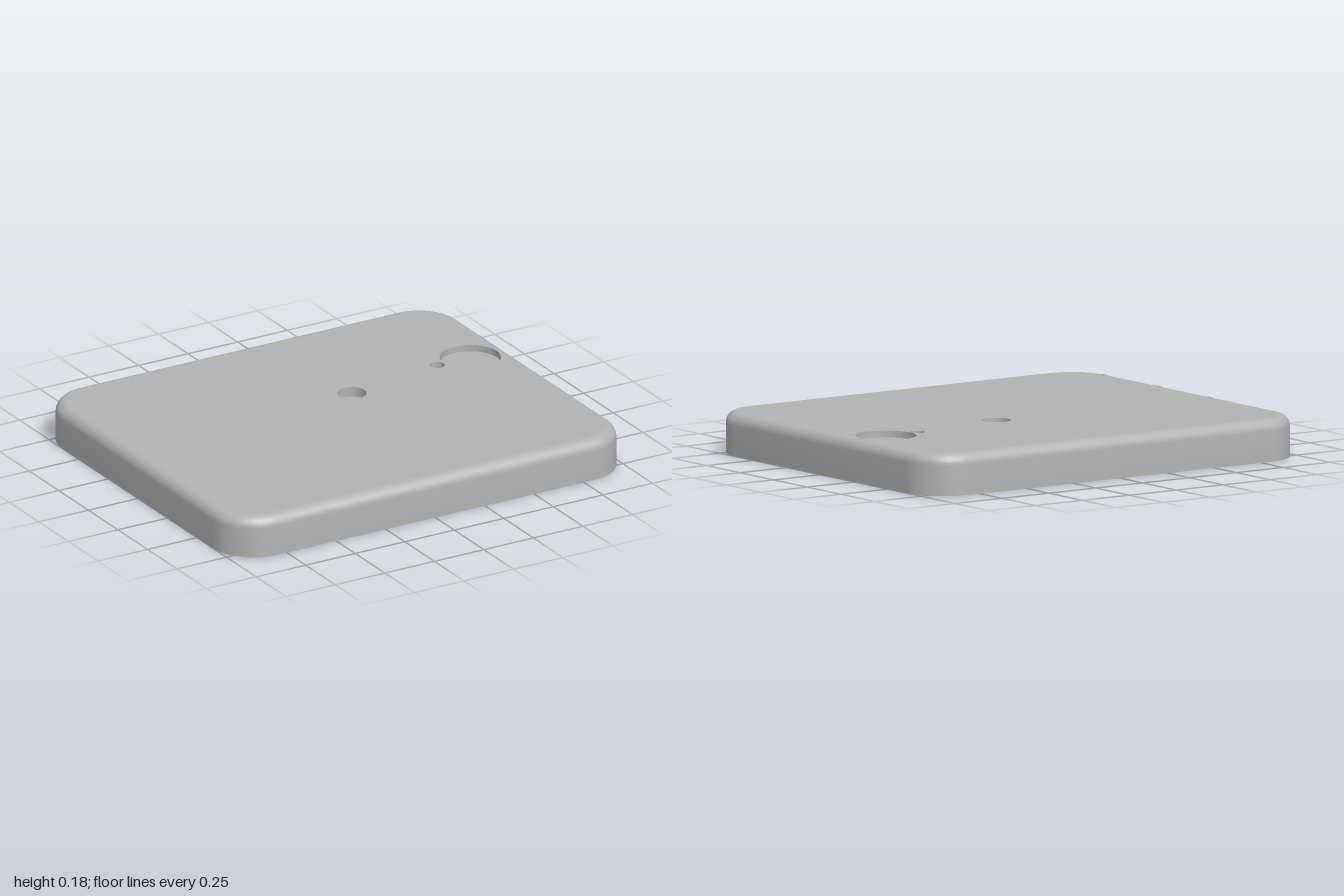
import * as THREE from 'three';
import { toCreasedNormals } from 'three/addons/utils/BufferGeometryUtils.js';

const HX = 1, HZ = 0.84, CORNER = 0.2;      // footprint
const TOP = 0.184, FLOOR = 0.13, FILLET = 0.05, WALL = 0.065;
const SCREWS = [[-0.9, -0.16], [-0.9, 0.22], [-0.9, 0.62], [0.17, -0.15]];
const DIAL = [0.812, -0.225, 0.133];        // x, z, radius
const PIN = [0.645, -0.225, 0.033];

const grey = new THREE.MeshStandardMaterial({ color: 0xb2b2b2 });
grey.name = 'plainGrey';

// Rounded-rectangle outline as [x, z], shrunk by inset
function outline(inset, steps = 12) {
  const points = [], r = CORNER - inset;
  const corners = [[1, 1], [-1, 1], [-1, -1], [1, -1]];
  corners.forEach(([sx, sz], q) => {
    for (let i = 0; i <= steps; i++) {
      const a = (q + i / steps) * Math.PI / 2;
      points.push([sx * (HX - CORNER) + r * Math.cos(a), sz * (HZ - CORNER) + r * Math.sin(a)]);
    }
  });
  return points;
}

// Flat face with round holes, facing up or down
function face(inset, holes, y, up) {
  const s = up ? -1 : 1;
  const shape = new THREE.Shape(outline(inset).map(([x, z]) => new THREE.Vector2(x, s * z)));
  for (const [x, z, r] of holes) {
    shape.holes.push(new THREE.Path().absarc(x, s * z, r, 0, Math.PI * 2, true));
  }
  return new THREE.ShapeGeometry(shape, 20).rotateX(s * Math.PI / 2).translate(0, y, 0);
}

// Wall: a profile of [inset, y] swept around the outline
function rim(profile) {
  const pos = [], idx = [];
  const n = outline(0).length;
  for (const [inset, y] of profile) {
    for (const [x, z] of outline(inset)) pos.push(x, y, z);
  }
  for (let j = 0; j < profile.length - 1; j++) {
    for (let i = 0; i < n; i++) {
      const a = j * n + i, b = j * n + (i + 1) % n;
      idx.push(a, a + n, b, b, a + n, b + n);
    }
  }
  const g = new THREE.BufferGeometry();
  g.setAttribute('position', new THREE.Float32BufferAttribute(pos, 3));
  g.setIndex(idx);
  return toCreasedNormals(g, 0.6);
}

function turned(profile) {
  const pts = profile.map(([r, y]) => new THREE.Vector2(r, y));
  return toCreasedNormals(new THREE.LatheGeometry(pts, 40), 0.6);
}

export function createModel() {
  const model = new THREE.Group();
  model.name = 'cover';
  const add = (name, geometry, x = 0, z = 0, y = 0) => {
    const mesh = new THREE.Mesh(geometry, grey);
    mesh.name = name;
    mesh.position.set(x, y, z);
    model.add(mesh);
  };

  // Side wall with a stepped lip at the bottom and a rounded top edge
  const profile = [[WALL, FLOOR], [WALL, 0.04], [0.033, 0.04], [0.033, 0], [0, 0]];
  for (let i = 0; i <= 8; i++) {
    const a = i / 8 * Math.PI / 2;
    profile.push([FILLET * (1 - Math.cos(a)), TOP - FILLET + FILLET * Math.sin(a)]);
  }
  add('sideWall', rim(profile));

  // Top and underside of the plate
  add('topFace', face(FILLET, [...SCREWS.map(([x, z]) => [x, z, 0.064]), DIAL, PIN], TOP, true));
  add('innerFace', face(WALL, [...SCREWS.map(([x, z]) => [x, z, 0.066]), [PIN[0], PIN[1], 0.115]], FLOOR, false));

  // Counterbored screw bosses
  for (const [x, z] of SCREWS) {
    add('screwBoss', turned([[0.064, TOP], [0.064, 0.139], [0.0375, 0.139],
      [0.0375, 0.05], [0.066, 0.05], [0.066, FLOOR]]), x, z);
  }

  // Round recess, and the pin hole with its pad underneath
  add('roundRecess', turned([[DIAL[2], TOP], [DIAL[2], 0.154], [0, 0.154]]), DIAL[0], DIAL[1]);
  add('pinHolePad', turned([[PIN[2], TOP], [PIN[2], 0.12], [0.115, 0.12], [0.115, FLOOR]]), PIN[0], PIN[1]);

  // Locating posts under the plate: x, z, radius, lower end
  const posts = [
    [0.8, -0.215, 0.045, 0.07], [0.56, -0.52, 0.031, 0.08], [0.545, -0.335, 0.031, 0.08],
    [0.15, 0.66, 0.031, 0.08], [0.86, -0.07, 0.031, 0.08], [0.88, 0.61, 0.031, 0.08],
  ];
  for (const [x, z, r, end] of posts) {
    const h = FLOOR - end;
    add('locatingPost', new THREE.CylinderGeometry(r, r, h, 24), x, z, end + h / 2);
  }
  return model;
}
